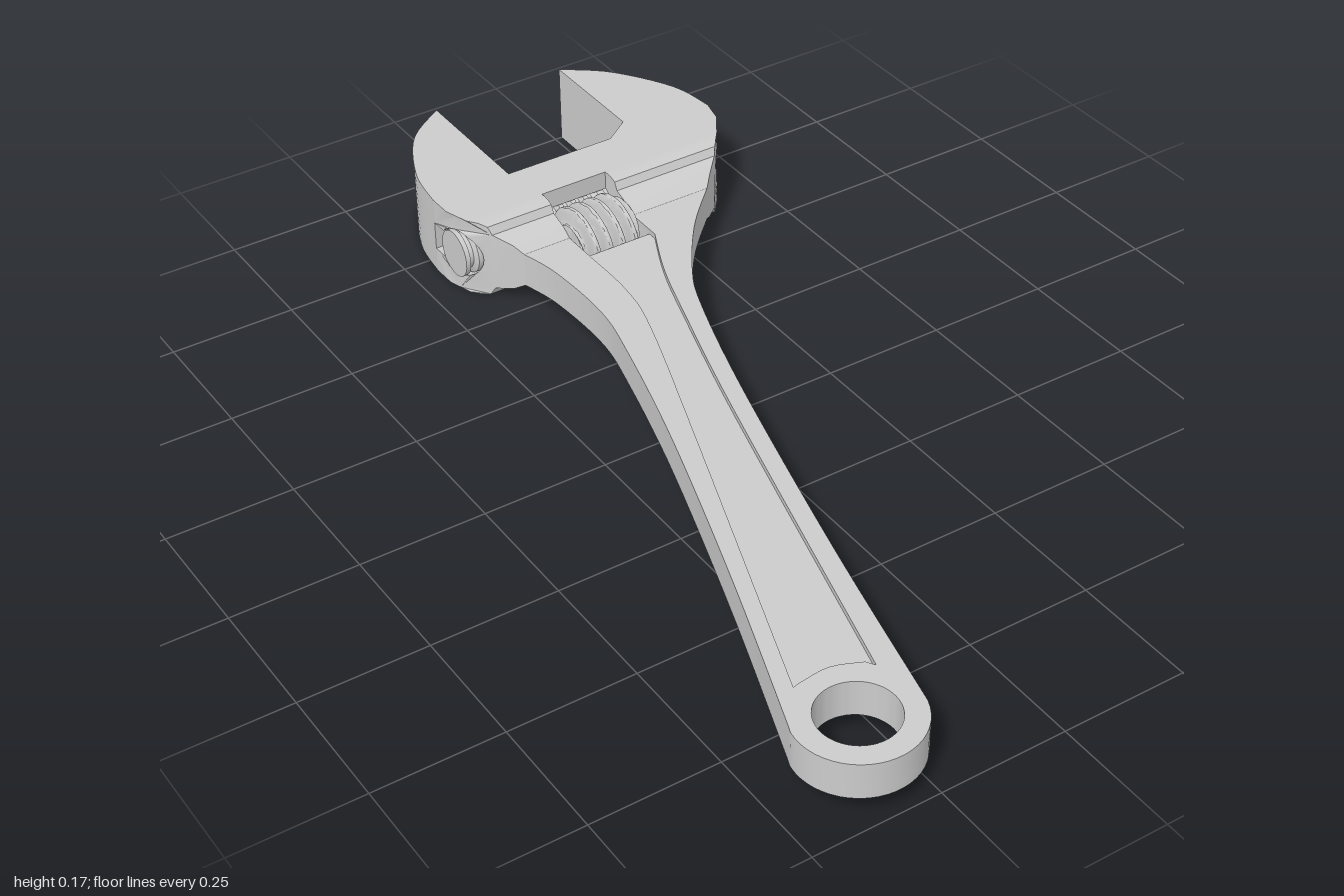
import * as THREE from 'three';
import { toCreasedNormals } from 'three/addons/utils/BufferGeometryUtils.js';

const MID = 0.0835, H = 0.083, CORE = 0.025, FLAT = 0.036; // mid height and half thicknesses
const SLOT = 0.03, BORE = 0.051, BORE_Z = -0.635;          // keyhole channel for the sliding jaw
const WIN_L = -0.01, WIN_R = 0.135, WIN_Z = -0.61;         // window for the adjusting screw

const material = new THREE.MeshStandardMaterial({ color: 0xcccccc, side: THREE.DoubleSide });
const vec = ([x, y]) => new THREE.Vector2(x, y);
const smooth = (pts, n = 24) => new THREE.SplineCurve(pts.map(vec)).getPoints(n).map(p => [p.x, p.y]);

function addMesh(parent, name, geometry, crease = 0.5) {
  const mesh = new THREE.Mesh(toCreasedNormals(geometry, crease), material);
  mesh.name = name;
  parent.add(mesh);
  return mesh;
}

// Plate: outline in (x, z), between two heights measured from the mid plane
function plate(outline, low, high, hole) {
  const shape = new THREE.Shape(outline.map(vec));
  if (hole) shape.holes.push(new THREE.Path().absarc(hole.x, hole.z, hole.r, 0, Math.PI * 2));
  const g = new THREE.ExtrudeGeometry(shape, { depth: high - low, bevelEnabled: false, curveSegments: 32 });
  return g.rotateX(Math.PI / 2).translate(0, MID + high, 0);
}

// Bar: section in (z, y) swept along x, each end following a rule x(z)
function bar(section, xFrom, xTo) {
  const g = new THREE.ExtrudeGeometry(new THREE.Shape(section.map(vec)), { depth: 1, bevelEnabled: false });
  g.rotateY(-Math.PI / 2).translate(0, MID, 0);
  const p = g.attributes.position;
  for (let i = 0; i < p.count; i++) {
    const z = p.getZ(i);
    p.setX(i, THREE.MathUtils.lerp(xTo(z), xFrom(z), -p.getX(i)));
  }
  return g;
}

// Linear look-up in a short list of [z, x] pairs
const follow = table => z => {
  let i = 0;
  while (i < table.length - 2 && z > table[i + 1][0]) i++;
  const [a, b] = [table[i], table[i + 1]];
  return THREE.MathUtils.mapLinear(z, a[0], b[0], a[1], b[1]);
};
const headLeft = follow([[-0.71, -0.197], [-0.66, -0.196], [-0.61, -0.18], [-0.57, -0.15], [-0.51, -0.112]]);
const headRight = follow([[-0.71, 0.444], [-0.66, 0.433], [-0.61, 0.40], [-0.57, 0.368], [-0.51, 0.31]]);

function addHandle(parent) {
  const eye = { x: -0.33, z: 0.88, r: 0.073 };
  const left = smooth([[-0.112, -0.51], [-0.093, -0.42], [-0.09, -0.265], [-0.117, -0.13],
    [-0.19, 0.13], [-0.313, 0.5], [-0.437, 0.843]], 40);
  const round = [];
  for (let i = 1; i < 24; i++) {
    const a = Math.PI + 0.33 - Math.PI * i / 24;
    round.push([eye.x + 0.115 * Math.cos(a), eye.z + 0.115 * Math.sin(a)]);
  }
  const right = smooth([[-0.221, 0.917], [-0.127, 0.53], [-0.005, 0.08], [0.08, -0.185],
    [0.13, -0.29], [0.217, -0.414], [0.31, -0.51]], 40);
  const outline = [...left, ...round, ...right];
  const notch = [[WIN_R, -0.51], [WIN_R, -0.45], [WIN_L, -0.45], [WIN_L, -0.51]];
  addMesh(parent, 'handleCore', plate([...outline, ...notch], -CORE, CORE, eye));

  // Raised rim around the sunken panel, on both faces
  const panel = [
    [WIN_R, -0.51], ...smooth([[WIN_R, -0.43], [0.085, -0.32], [0.04, -0.185], [-0.055, 0.13], [-0.24, 0.806]]),
    ...smooth([[-0.25, 0.79], [-0.305, 0.768], [-0.365, 0.772]], 8),
    ...smooth([[-0.38, 0.775], [-0.16, 0.17], [-0.04, -0.17], [-0.012, -0.3], [WIN_L, -0.43]]), [WIN_L, -0.51]];
  addMesh(parent, 'handleRimTop', plate([...outline, ...panel], CORE, FLAT, eye));
  addMesh(parent, 'handleRimBottom', plate([...outline, ...panel], -FLAT, -CORE, eye));
}

function addHead(parent) {
  // Upper half of the keyhole channel, from its far side to the open slot
  const a0 = Math.PI - Math.asin(SLOT / BORE);
  const arc = (from, to) => Array.from({ length: 13 }, (_, i) => {
    const a = from + (to - from) * i / 12;
    return [BORE_Z + BORE * Math.cos(a), BORE * Math.sin(a)];
  });
  const flip = pts => pts.map(([z, y]) => [z, -y]).reverse();
  const top = [[-0.71, H], [-0.685, H], [-0.66, H], [-0.635, H], [-0.61, H], [-0.59, H], [-0.575, 0.078],
    [-0.567, 0.062], [-0.53, 0.05], [-0.51, FLAT]];
  const channel = [...arc(0, a0), [-0.71, SLOT]];
  const cheek = [...top, ...flip(top), ...flip(channel), ...channel.slice(1)];
  addMesh(parent, 'headLeftCheek', bar(cheek, headLeft, () => WIN_L));
  addMesh(parent, 'headRightCheek', bar(cheek, () => WIN_R, headRight));

  // Bridges over and under the channel beside the screw window
  const bridge = [[-0.71, H], [WIN_Z, H], ...arc(Math.acos((WIN_Z - BORE_Z) / BORE), a0), [-0.71, SLOT]];
  addMesh(parent, 'headBridgeTop', bar(bridge, () => WIN_L, () => WIN_R));
  addMesh(parent, 'headBridgeBottom', bar(flip(bridge), () => WIN_L, () => WIN_R));

  // Fixed jaw, with the slot running into its root
  const back = smooth([[0.265, -1], [0.35, -0.93], [0.425, -0.81], [0.444, -0.71]]);
  const jaw = [...back, [0.21, -0.71], [0.265, -0.75]];
  addMesh(parent, 'fixedJawTop', plate(jaw, SLOT, H));
  addMesh(parent, 'fixedJawBottom', plate(jaw, -H, -SLOT));
  addMesh(parent, 'fixedJawMiddle', plate([...back.filter(p => p[1] < -0.755), [0.438, -0.755], [0.265, -0.755]], -SLOT, SLOT));
}

function addSlidingJaw(parent) {
  const back = smooth([[-0.027, -1], [-0.117, -0.93], [-0.179, -0.81], [-0.197, -0.71]]);
  addMesh(parent, 'slidingJaw', plate([...back, [-0.027, -0.71]], -H, H));
  addMesh(parent, 'slidingJawWeb', plate(
    [[-0.15, -0.72], [-0.027, -0.745], [0.07, -0.71], [0.13, -0.69], [0.13, -0.64], [-0.15, -0.64]], -0.028, 0.028));

  // Toothed rack running in the channel
  const profile = [[0, -0.197]];
  for (let x = -0.197; x < 0.11; x += 0.028)
    profile.push([0.048, x], [0.048, x + 0.01], [0.036, x + 0.015], [0.036, x + 0.023]);
  profile.push([0.048, 0.115], [0.048, 0.13], [0, 0.13]);
  const rack = new THREE.LatheGeometry(profile.map(vec), 32).rotateZ(-Math.PI / 2).translate(0, MID, BORE_Z);
  addMesh(parent, 'rack', rack);
}

function addScrew(parent) {
  // Worm: a cylinder whose radius follows a helix, tapering at both ends
  const length = 0.134, turns = 4.7;
  const worm = new THREE.CylinderGeometry(1, 1, length, 48, 80);
  const p = worm.attributes.position;
  for (let i = 0; i < p.count; i++) {
    const x = p.getX(i), z = p.getZ(i), t = p.getY(i) / length + 0.5;
    if (Math.hypot(x, z) < 0.5) continue;
    const wave = 0.5 + 0.5 * Math.sin(t * turns * Math.PI * 2 + Math.atan2(z, x));
    const end = Math.min(1, 0.45 + Math.min(t, 1 - t) * 5);
    const r = 0.045 + 0.034 * end * THREE.MathUtils.smoothstep(wave, 0.1, 0.9);
    p.setXYZ(i, x * r, p.getY(i), z * r);
  }
  worm.rotateZ(-Math.PI / 2).translate(0.0625, MID, -0.528);
  addMesh(parent, 'adjustingScrew', worm, 1);
  const pin = new THREE.CylinderGeometry(0.02, 0.02, 0.16, 24).rotateZ(Math.PI / 2);
  addMesh(parent, 'screwPin', pin.translate(0.0625, MID, -0.528));
}

export function createModel() {
  const model = new THREE.Group();
  model.name = 'adjustableWrench';
  for (const build of [addHandle, addHead, addSlidingJaw, addScrew]) build(model);
  return model;
}
